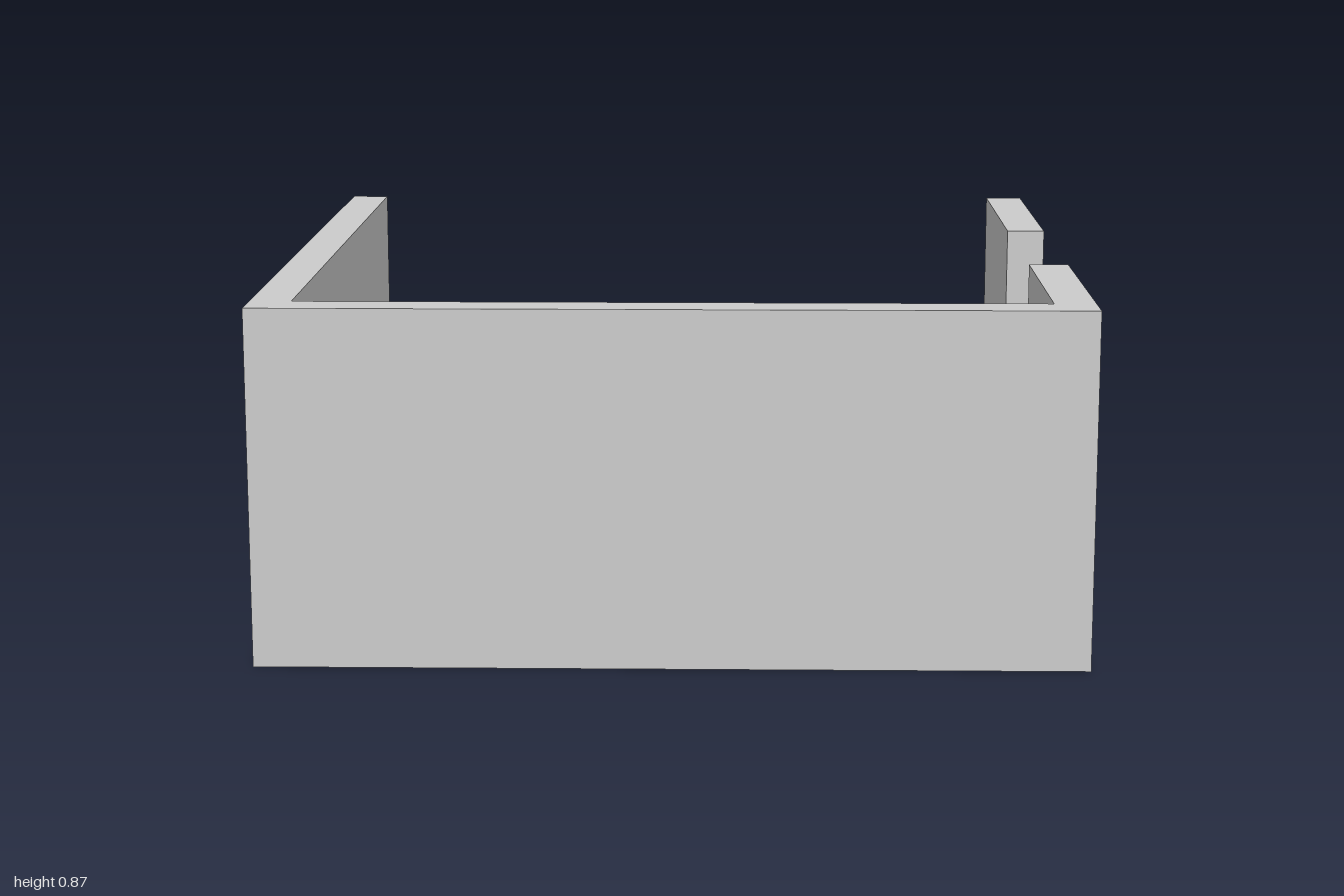
import * as THREE from 'three';

const H = 0.87;      // wall height
const FLOOR = 0.07;  // floor thickness
const IN = 0.9;      // inner face of the walls
const DOOR = 0.3;    // half width of the side opening
const C = 0.115;     // chamfer size

const grey = new THREE.MeshStandardMaterial({ color: 0xcccccc, flatShading: true, side: THREE.DoubleSide });
const orange = new THREE.MeshStandardMaterial({ color: 0xf57a1f, flatShading: true, side: THREE.DoubleSide });

const shapeGeo = (pts) => new THREE.ShapeGeometry(new THREE.Shape(pts.map(([x, y]) => new THREE.Vector2(x, y))));

// Horizontal polygon from [x, z] points, facing up at height y
const slab = (pts, y) => shapeGeo(pts.map(([x, z]) => [x, -z])).rotateX(-Math.PI / 2).translate(0, y, 0);

// Band of quads between an upper and a lower [x, z] path
function strip(upper, yUp, lower, yLow) {
  const pos = [];
  for (let i = 0; i < upper.length - 1; i++) {
    const [a0, a1] = [upper[i], upper[i + 1]].map(([x, z]) => [x, yUp, z]);
    const [b0, b1] = [lower[i], lower[i + 1]].map(([x, z]) => [x, yLow, z]);
    pos.push(...a0, ...b1, ...b0, ...a0, ...a1, ...b1);
  }
  const geo = new THREE.BufferGeometry();
  geo.setAttribute('position', new THREE.Float32BufferAttribute(pos, 3));
  geo.computeVertexNormals();
  return geo;
}

// Outer side with an opening of half width w, chamfered at its foot
function openSide(w) {
  const half = [[1, 0], [1, H], [w, H], [w, FLOOR + C], [w - C, FLOOR]];
  return shapeGeo([...half, ...half.map(([x, y]) => [-x, y]).reverse()]);
}

export function createModel() {
  const model = new THREE.Group();
  model.name = 'openTray';
  const add = (name, geo, mat = grey) => {
    const mesh = new THREE.Mesh(geo, mat);
    mesh.name = name;
    model.add(mesh);
  };

  // Inner wall lines on both sides of the opening, and the chamfer toes inside them
  const T = IN - C, D = DOOR - C;
  const mainWall = [[-IN, -1], [-IN, IN], [IN, IN], [IN, DOOR], [1, DOOR]];
  const mainToe = [[-T, -1], [-T, T], [T, T], [T, D], [1, D]];
  const backWall = [[1, -DOOR], [IN, -DOOR], [IN, -1]];
  const backToe = [[1, -D], [T, -D], [T, -1]];

  // Outer shell
  add('bottom', new THREE.PlaneGeometry(2, 2).rotateX(Math.PI / 2));
  add('frontWall', new THREE.PlaneGeometry(2, H).translate(0, H / 2, 1));
  add('rightWall', new THREE.PlaneGeometry(2, H).rotateY(-Math.PI / 2).translate(-1, H / 2, 0));
  add('leftWall', openSide(DOOR).rotateY(Math.PI / 2).translate(1, 0, 0));
  add('backEdge', openSide(IN).rotateY(Math.PI).translate(0, 0, -1));

  // Floor and wall tops
  add('floor', slab([...mainToe, ...backToe], FLOOR));
  add('mainRim', slab([...mainWall, [1, 1], [-1, 1], [-1, -1]], H));
  add('backRim', slab([...backWall, [1, -1]], H));

  // Inner wall faces and coloured chamfers along their foot
  for (const [name, wall, toe] of [['main', mainWall, mainToe], ['back', backWall, backToe]]) {
    add(name + 'InnerWall', strip(wall, H, wall, FLOOR + C));
    add(name + 'Chamfer', strip(wall, FLOOR + C, toe, FLOOR), orange);
  }
  return model;
}
